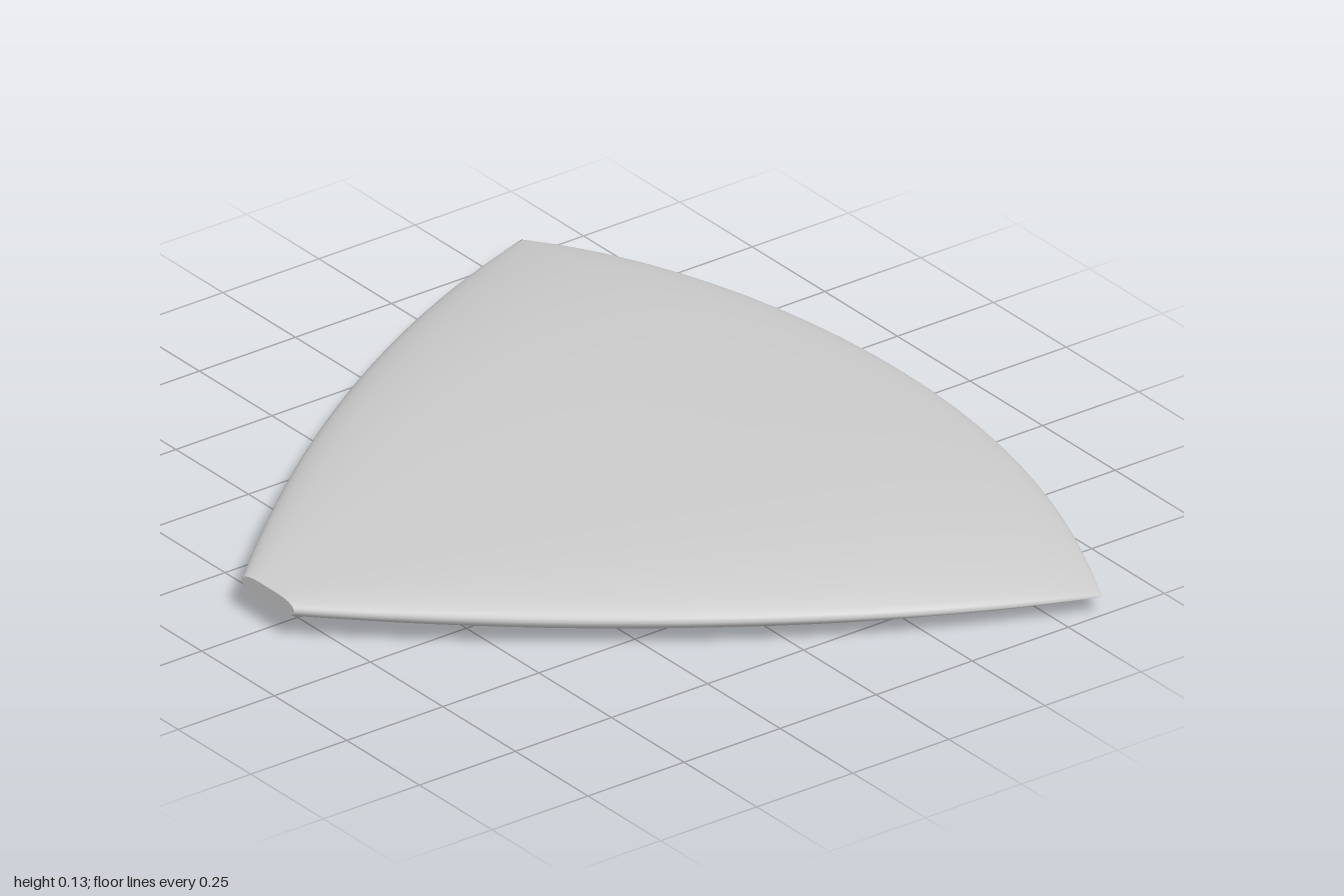
import * as THREE from 'three';

const ROWS = 44, SIDES = 64;

// Half thickness on the centre line: gentle taper to the front, elliptical to the back
function halfThickness(t) {
  if (t < 0.57) return 0.065 - 0.045 * ((0.57 - t) / 0.57) ** 2;
  return 0.065 * Math.sqrt(Math.max(0, 1 - ((t - 0.57) / 0.43) ** 2));
}

// Point of the shell: t runs from the front tip to the back rim, a runs round the section
function shellPoint(t, a) {
  const u = Math.cos(a);
  const x = u * (0.09 + 0.91 * t + 0.42 * t * (1 - t));
  const z = 0.827 - 1.415 * t - 0.24 * t * (1 - u * u);
  const mid = 0.065 + 0.03 * (t - 0.55) ** 2 - 0.028 * x ** 4;
  const y = mid + halfThickness(t) * Math.sin(a) * Math.sqrt(1 + u * u);
  return [x, y, z];
}

function buildGeometry(points, index) {
  const g = new THREE.BufferGeometry();
  g.setAttribute('position', new THREE.Float32BufferAttribute(points.flat(), 3));
  g.setIndex(index);
  g.computeVertexNormals();
  return g;
}

function ring(t) {
  return Array.from({ length: SIDES }, (_, j) => shellPoint(t, (j / SIDES) * Math.PI * 2));
}

export function createModel() {
  const group = new THREE.Group();
  group.name = 'roundedWedge';
  const material = new THREE.MeshStandardMaterial({ color: 0xcccccc });
  const add = (name, geometry) => {
    const mesh = new THREE.Mesh(geometry, material);
    mesh.name = name;
    group.add(mesh);
  };

  // Pillowed body lofted through the sections, closing to a sharp curved back rim
  const points = [], index = [];
  for (let i = 0; i <= ROWS; i++) {
    points.push(...ring(Math.sin((i / ROWS) * Math.PI / 2)));
    if (i === ROWS) break;
    for (let j = 0; j < SIDES; j++) {
      const a = i * SIDES + j, b = i * SIDES + (j + 1) % SIDES;
      index.push(a, a + SIDES, b, b, a + SIDES, b + SIDES);
    }
  }
  add('body', buildGeometry(points, index));

  // Flat cap on the blunt front tip
  const capIndex = [];
  for (let j = 0; j < SIDES; j++) capIndex.push(SIDES, j, (j + 1) % SIDES);
  add('frontCap', buildGeometry([...ring(0), [0, 0.074, 0.827]], capIndex));

  return group;
}
